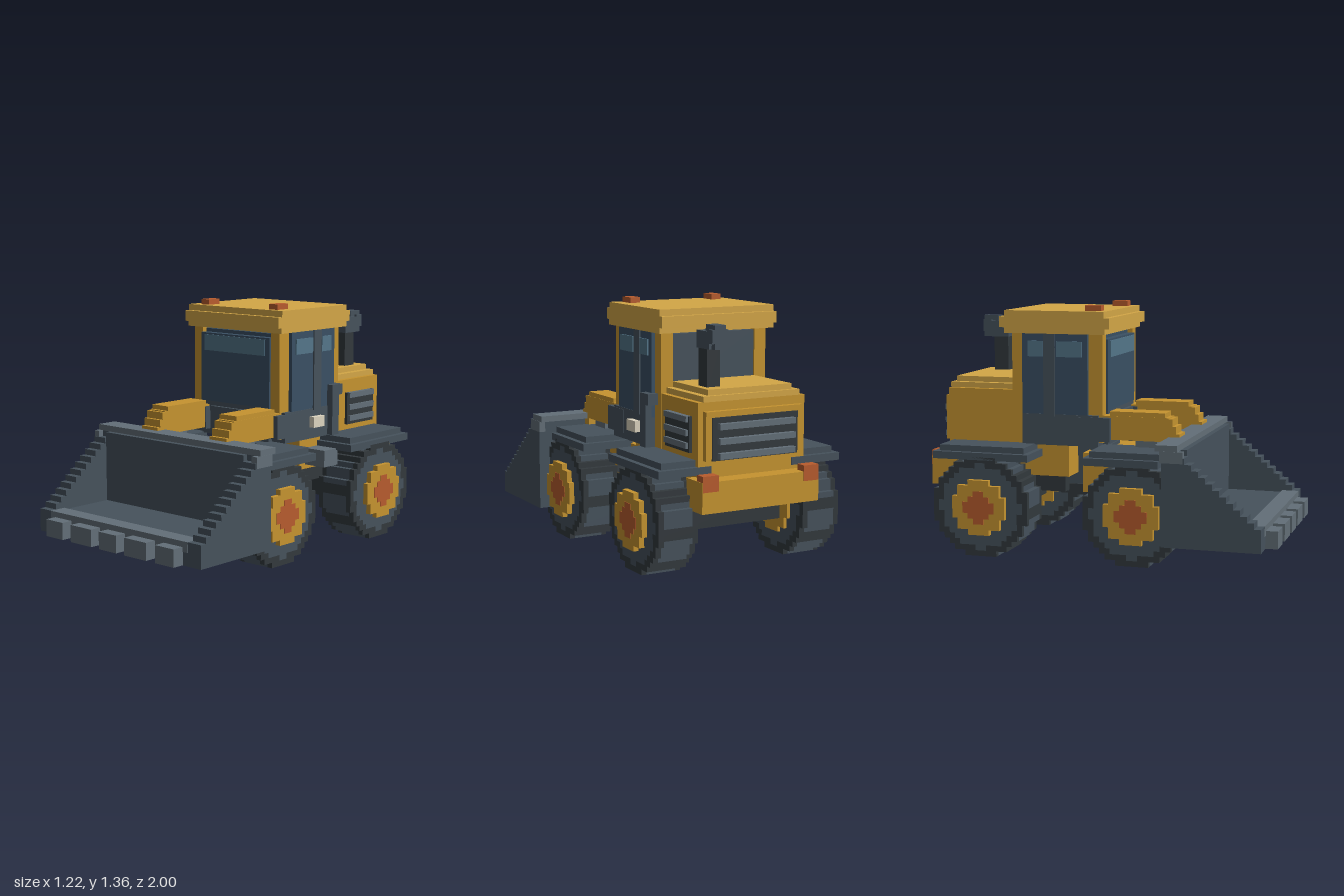
import * as THREE from 'three';
import { mergeGeometries } from 'three/addons/utils/BufferGeometryUtils.js';

const U = 2 / 66; // block size
const mat = (color) => new THREE.MeshStandardMaterial({ color, flatShading: true });
const GOLD = mat(0xc69430), PALE = mat(0xd4a747), SLATE = mat(0x46525c), DARK = mat(0x33393d),
  GREY = mat(0x636f78), GLASS = mat(0x3a5064), GLOSS = mat(0x54768a), RED = mat(0xb85c2e), CREAM = mat(0xddd5c0);

function add(parent, name, geometry, material) {
  const mesh = new THREE.Mesh(geometry, material);
  mesh.name = name;
  parent.add(mesh);
  return mesh;
}

// Box given by its limits on each axis
function box(parent, name, material, x0, x1, y0, y1, z0, z1) {
  const g = new THREE.BoxGeometry(x1 - x0, y1 - y0, z1 - z0);
  g.translate((x0 + x1) / 2, (y0 + y1) / 2, (z0 + z1) / 2);
  return add(parent, name, g, material);
}

// The same box on both sides
function pair(parent, name, material, x0, x1, ...rest) {
  box(parent, name, material, x0, x1, ...rest);
  box(parent, name, material, -x1, -x0, ...rest);
}

// Disc of blocks facing x: every cell that passes the test, joined into runs
function blockDisc(n, test, x0, x1) {
  const runs = [], h = n / 2;
  for (let j = 0; j < n; j++) {
    let start = -1;
    for (let i = 0; i <= n; i++) {
      const on = i < n && test(i + 0.5 - h, j + 0.5 - h);
      if (on && start < 0) start = i;
      if (!on && start >= 0) {
        const g = new THREE.BoxGeometry(x1 - x0, U, (i - start) * U);
        g.translate((x0 + x1) / 2, (j + 0.5 - h) * U, ((i + start) / 2 - h) * U);
        runs.push(g);
        start = -1;
      }
    }
  }
  return mergeGeometries(runs);
}

function createWheel() {
  const wheel = new THREE.Group();
  const inside = (r) => (a, b) => Math.hypot(a, b) < r;
  const outer = (a, b) => Math.hypot(a, b) < 9.1 && Math.hypot(a, b) >= 7.6;
  const panel = (a, b) => Math.floor((Math.atan2(b, a) + Math.PI) / (Math.PI / 12)) % 3 !== 0;
  add(wheel, 'tireWall', blockDisc(18, inside(7.6), 0.318, 0.543), SLATE);
  add(wheel, 'tireEdgeOuter', blockDisc(18, outer, 0.513, 0.543), DARK);
  add(wheel, 'tireEdgeInner', blockDisc(18, outer, 0.318, 0.348), DARK);
  add(wheel, 'treadPanels', blockDisc(18, (a, b) => outer(a, b) && panel(a, b), 0.348, 0.513), SLATE);
  add(wheel, 'treadLugs', blockDisc(18, (a, b) => outer(a, b) && !panel(a, b), 0.348, 0.513), DARK);
  add(wheel, 'hub', blockDisc(10, inside(5.1), 0.3, 0.573), GOLD);
  const cross = (a, b) => Math.abs(a) + Math.abs(b) < 3.1;
  add(wheel, 'hubCentre', blockDisc(6, cross, 0.5, 0.576), RED);
  return wheel;
}

function createBucket() {
  const bucket = new THREE.Group();
  bucket.name = 'bucket';
  // Stepped side plates
  const steps = 12, z0 = 0.935, z1 = 0.49, y0 = 0.255, y1 = 0.635;
  const side = new THREE.Shape().moveTo(0.405, 0.13).lineTo(z0, 0.13).lineTo(z0, y0);
  for (let i = 1; i <= steps; i++) {
    const z = z0 + (z1 - z0) * (i / steps), y = y0 + (y1 - y0) * (i / steps);
    side.lineTo(z, y0 + (y1 - y0) * ((i - 1) / steps)).lineTo(z, y);
  }
  side.lineTo(0.405, y1);
  for (const x of [-0.606, 0.516]) {
    const g = new THREE.ExtrudeGeometry(side, { depth: 0.09, bevelEnabled: false });
    g.rotateY(-Math.PI / 2).translate(x + 0.09, 0, 0);
    add(bucket, 'bucketSide', g, SLATE);
  }
  box(bucket, 'bucketBack', SLATE, -0.516, 0.516, 0.13, 0.635, 0.405, 0.52);
  box(bucket, 'bucketFloor', SLATE, -0.516, 0.516, 0.13, 0.245, 0.52, 0.933);
  box(bucket, 'bucketLip', GREY, -0.516, 0.516, 0.2, 0.255, 0.84, 0.936);
  box(bucket, 'bucketTopBar', GREY, -0.606, 0.606, 0.635, 0.668, 0.37, 0.49);
  pair(bucket, 'bucketCorner', GREY, 0.573, 0.608, 0.575, 0.636, 0.395, 0.52);
  for (const [x, w] of [[-0.415, 0.13], [-0.205, 0.16], [0, 0.13], [0.205, 0.16], [0.415, 0.13]])
    box(bucket, 'bucketTooth', GREY, x - w / 2, x + w / 2, 0.131, 0.225, 0.92, 1);
  return bucket;
}

function createCab() {
  const cab = new THREE.Group();
  cab.name = 'cab';
  box(cab, 'cabBase', SLATE, -0.343, 0.343, 0.6, 0.77, -0.455, -0.02);
  box(cab, 'frontPanel', SLATE, -0.25, 0.25, 0.6, 0.79, -0.02, 0.01);
  box(cab, 'dashBox', SLATE, -0.165, 0.165, 0.64, 0.765, 0, 0.03);
  box(cab, 'cabInterior', GLASS, -0.3, 0.3, 0.77, 1.2, -0.48, -0.03);
  box(cab, 'windscreen', GLASS, -0.255, 0.255, 0.79, 1.18, -0.03, 0.012);
  box(cab, 'windscreenShine', GLOSS, -0.225, 0.225, 1.08, 1.17, 0, 0.018);
  box(cab, 'rearWindow', SLATE, -0.25, 0.25, 0.9, 1.2, -0.51, -0.47);
  pair(cab, 'frontPillar', GOLD, 0.255, 0.318, 0.62, 1.21, -0.08, 0);
  pair(cab, 'rearPillar', GOLD, 0.25, 0.32, 0.6, 1.21, -0.52, -0.455);
  pair(cab, 'sideWindow', GLASS, 0.29, 0.34, 0.76, 1.21, -0.455, -0.08);
  pair(cab, 'doorPost', SLATE, 0.3, 0.348, 0.76, 1.21, -0.33, -0.265);
  pair(cab, 'sideShineFront', GLOSS, 0.32, 0.348, 1.085, 1.17, -0.255, -0.11);
  pair(cab, 'sideShineRear', GLOSS, 0.32, 0.348, 1.085, 1.17, -0.42, -0.335);
  // Layered roof with beacons
  box(cab, 'roofLower', PALE, -0.348, 0.348, 1.21, 1.24, -0.555, 0.02);
  box(cab, 'roofMiddle', PALE, -0.348, 0.348, 1.24, 1.3, -0.585, 0.045);
  box(cab, 'roofTop', PALE, -0.348, 0.348, 1.3, 1.334, -0.555, 0.015);
  pair(cab, 'beacon', RED, 0.225, 0.285, 1.33, 1.364, -0.11, -0.02);
  // Fittings on the door side
  box(cab, 'doorHandle', CREAM, 0.33, 0.375, 0.665, 0.725, -0.33, -0.235);
  box(cab, 'airIntake', SLATE, 0.3, 0.378, 0.6, 0.89, -0.455, -0.395);
  box(cab, 'airIntakeBack', SLATE, 0.3, 0.378, 0.83, 0.89, -0.485, -0.395);
  return cab;
}

function createHood() {
  const hood = new THREE.Group();
  hood.name = 'engineHood';
  box(hood, 'hoodBody', GOLD, -0.318, 0.318, 0.57, 0.895, -0.9, -0.5);
  box(hood, 'hoodTail', GOLD, -0.288, 0.288, 0.6, 0.85, -0.93, -0.9);
  box(hood, 'hoodStep', PALE, -0.288, 0.288, 0.89, 0.925, -0.9, -0.52);
  box(hood, 'hoodTop', PALE, -0.25, 0.25, 0.92, 0.955, -0.88, -0.52);
  // Rear grille and side vent slats
  box(hood, 'grillePanel', DARK, -0.255, 0.255, 0.6, 0.82, -0.935, -0.9);
  for (const y of [0.61, 0.685, 0.76]) box(hood, 'grilleSlat', GREY, -0.225, 0.225, y, y + U, -0.965, -0.92);
  box(hood, 'ventPanel', DARK, 0.3, 0.334, 0.635, 0.82, -0.84, -0.59);
  for (const y of [0.655, 0.72, 0.79]) box(hood, 'ventSlat', GREY, 0.3, 0.348, y, y + U, -0.83, -0.6);
  // Exhaust
  box(hood, 'exhaustPipe', DARK, 0.135, 0.212, 0.92, 1.16, -0.805, -0.72);
  box(hood, 'exhaustElbow', SLATE, 0.125, 0.22, 1.15, 1.24, -0.84, -0.715);
  box(hood, 'exhaustCap', SLATE, 0.14, 0.205, 1.15, 1.273, -0.87, -0.78);
  box(hood, 'exhaustMouth', SLATE, 0.125, 0.22, 1.18, 1.25, -0.87, -0.82);
  // Bumper and tail lights
  box(hood, 'rearBumper', GOLD, -0.348, 0.348, 0.35, 0.51, -0.997, -0.84);
  pair(hood, 'tailLight', RED, 0.255, 0.345, 0.46, 0.542, -1, -0.94);
  return hood;
}

function createArms() {
  const arms = new THREE.Group();
  arms.name = 'loaderArms';
  pair(arms, 'armBeam', GOLD, 0.195, 0.318, 0.64, 0.77, -0.02, 0.37);
  pair(arms, 'armTop', GOLD, 0.195, 0.316, 0.76, 0.795, 0.04, 0.35);
  // Arm nose stepping down to the bucket
  for (let i = 0; i < 3; i++)
    pair(arms, 'armNose', GOLD, 0.195, 0.318, 0.6, 0.765 - i * 0.04, 0.35, 0.39 + i * 0.02);
  pair(arms, 'armPivot', SLATE, 0.19, 0.346, 0.63, 0.76, -0.135, 0.048);
  pair(arms, 'armPin', GREY, 0.21, 0.3, 0.54, 0.64, 0.18, 0.3);
  pair(arms, 'bucketHinge', GREY, 0.195, 0.318, 0.57, 0.637, 0.37, 0.41);
  return arms;
}

function createChassis() {
  const chassis = new THREE.Group();
  chassis.name = 'chassis';
  box(chassis, 'frontFrame', GOLD, -0.25, 0.25, 0.33, 0.55, -0.135, 0.38);
  box(chassis, 'rearFrame', GOLD, -0.3, 0.3, 0.42, 0.6, -0.9, -0.2);
  box(chassis, 'rearBelly', DARK, -0.22, 0.22, 0.32, 0.43, -0.88, -0.25);
  // Steering joint
  box(chassis, 'joint', SLATE, -0.14, 0.14, 0.31, 0.57, -0.34, -0.04);
  const disc = blockDisc(10, (a, b) => Math.hypot(a, b) < 5.1, -0.03, 0.03);
  disc.rotateZ(Math.PI / 2).translate(0, 0.325, -0.19);
  add(chassis, 'jointDisc', disc, DARK);
  box(chassis, 'stepBox', GREY, 0.28, 0.438, 0.445, 0.54, -0.37, -0.25);
  box(chassis, 'stepBracket', GREY, 0.28, 0.375, 0.445, 0.54, -0.45, -0.25);
  // Axles and two-layer fenders
  for (const z of [0.23, -0.63]) {
    box(chassis, 'axle', DARK, -0.33, 0.33, 0.2, 0.35, z - 0.08, z + 0.08);
    pair(chassis, 'fenderLower', SLATE, 0.24, 0.543, 0.53, 0.57, z - 0.275, z + (z > 0 ? 0.14 : 0.275));
    pair(chassis, 'fenderUpper', SLATE, 0.24, 0.513, 0.57, 0.603, z - 0.245, z + (z > 0 ? 0.14 : 0.245));
  }
  return chassis;
}

export function createModel() {
  const model = new THREE.Group();
  model.name = 'wheelLoader';
  model.add(createBucket(), createArms(), createCab(), createHood(), createChassis());
  for (const [end, z] of [['front', 0.23], ['rear', -0.63]]) {
    for (const s of [1, -1]) {
      const wheel = createWheel();
      wheel.name = end + (s > 0 ? 'LeftWheel' : 'RightWheel');
      wheel.position.set(0, 9 * U, z);
      if (s < 0) wheel.rotation.y = Math.PI;
      model.add(wheel);
    }
  }
  return model;
}
